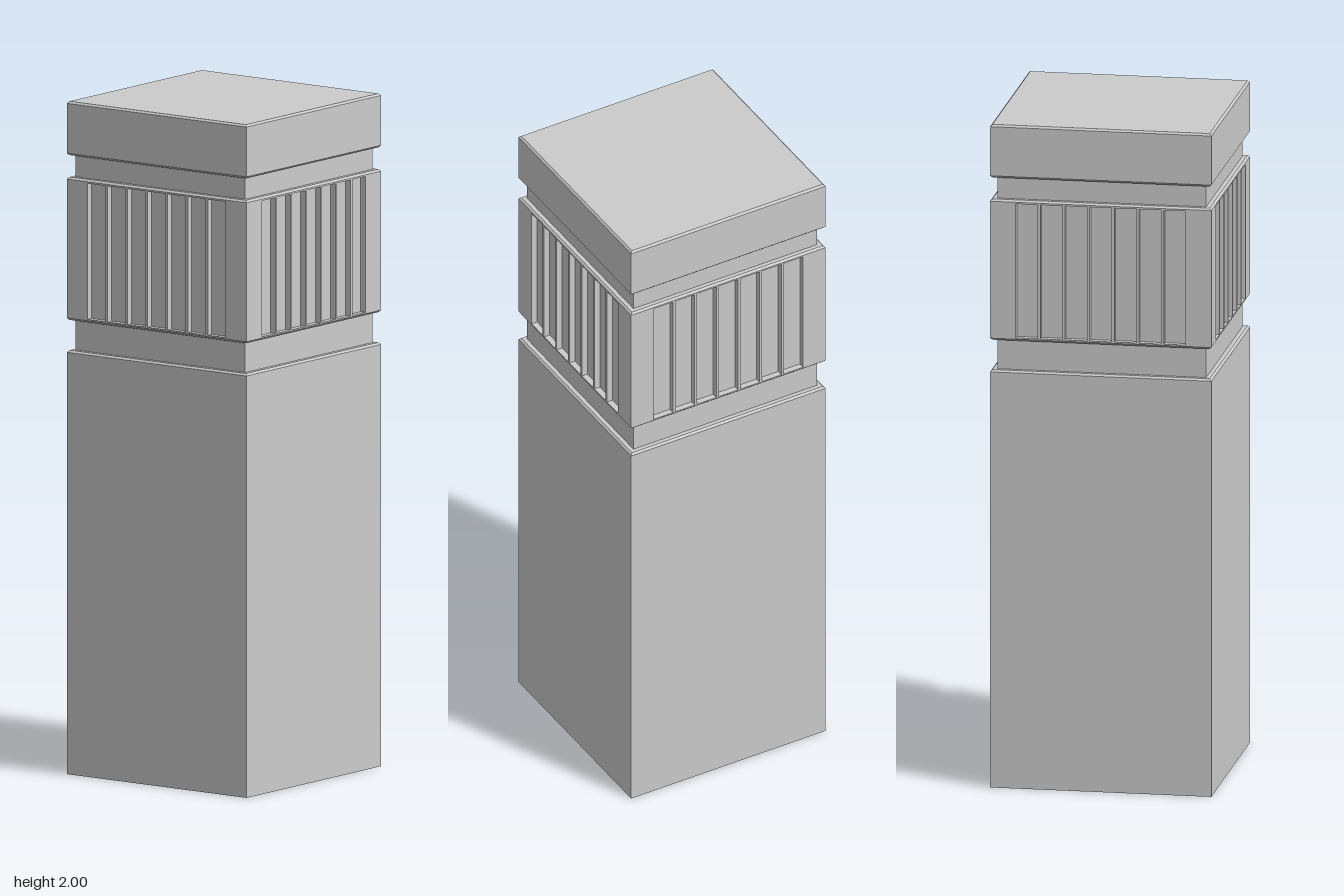
import * as THREE from 'three';

const W = 0.3286;   // half width of the pillar
const N = 0.31;     // half width of the necks and pocket floors
const C = 0.006;    // chamfer
const material = new THREE.MeshStandardMaterial({
  color: 0xcccccc, flatShading: true, side: THREE.DoubleSide,
});

// Square loft: rows of [half width, y], bottom to top
function squareLoft(name, rows) {
  const points = rows.map(([w, y]) => new THREE.Vector2(w * Math.SQRT2, y));
  const geometry = new THREE.LatheGeometry(points, 4, Math.PI / 4).toNonIndexed();
  geometry.computeVertexNormals();
  const mesh = new THREE.Mesh(geometry, material);
  mesh.name = name;
  return mesh;
}

function rectangle(path, x0, y0, x1, y1) {
  path.moveTo(x0, y0);
  path.lineTo(x1, y0);
  path.lineTo(x1, y1);
  path.lineTo(x0, y1);
  path.closePath();
  return path;
}

// One side of the fluted block: a plate with seven tall pockets, mitred at the corners
function flutedPanelGeometry(y0, y1) {
  const shape = rectangle(new THREE.Shape(), -W, y0, W, y1);
  const pitch = 0.0733, half = 0.0325;
  for (let i = -3; i <= 3; i++) {
    const x = i * pitch;
    shape.holes.push(rectangle(new THREE.Path(), x - half, y0 + 0.004, x + half, y1 - 0.005));
  }
  const geometry = new THREE.ExtrudeGeometry(shape, { depth: W - N, bevelEnabled: false });
  geometry.translate(0, 0, N);
  const p = geometry.attributes.position;
  for (let i = 0; i < p.count; i++) {
    if (Math.abs(p.getX(i)) > N && p.getZ(i) < (N + W) / 2) {
      p.setX(i, Math.sign(p.getX(i)) * N);
    }
  }
  geometry.computeVertexNormals();
  return geometry;
}

export function createModel() {
  const group = new THREE.Group();
  group.name = 'pillar';
  const shaftTop = 1.26, blockBottom = 1.35, blockTop = 1.775, capBottom = 1.84;

  // Shaft, open underneath
  group.add(squareLoft('shaft', [
    [W, 0], [W, shaftTop - C], [W - C, shaftTop], [N, shaftTop],
  ]));
  group.add(squareLoft('lowerNeck', [[N, shaftTop], [N, blockBottom]]));

  // Chamfered rims and recessed core of the fluted block
  const y0 = blockBottom + C, y1 = blockTop - C;
  group.add(squareLoft('blockCore', [
    [N, blockBottom], [W - C, blockBottom], [W, y0], [N, y0],
    [N, y1], [W, y1], [W - C, blockTop], [N, blockTop],
  ]));
  const panel = flutedPanelGeometry(y0, y1);
  for (let i = 0; i < 4; i++) {
    const mesh = new THREE.Mesh(panel, material);
    mesh.name = 'flutedPanel' + (i + 1);
    mesh.rotation.y = i * Math.PI / 2;
    group.add(mesh);
  }

  group.add(squareLoft('upperNeck', [[N, blockTop], [N, capBottom]]));

  // Cap
  group.add(squareLoft('cap', [
    [N, capBottom], [W - C, capBottom], [W, capBottom + C],
    [W, 2 - C], [W - C, 2], [0, 2],
  ]));
  return group;
}
